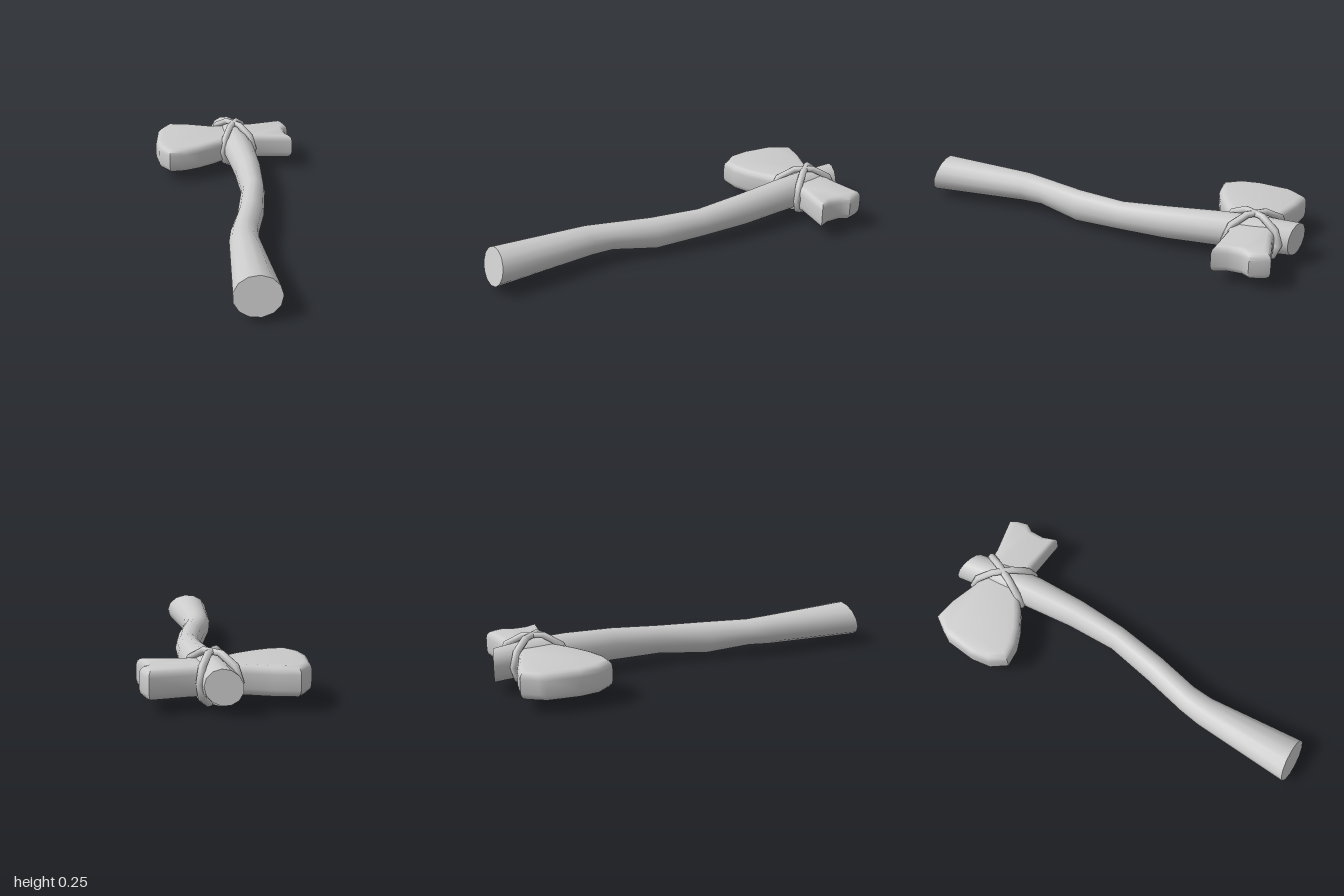
import * as THREE from 'three';
import { toCreasedNormals } from 'three/addons/utils/BufferGeometryUtils.js';

const material = new THREE.MeshStandardMaterial({ color: 0xcccccc });

function addPart(group, name, geometry) {
  const mesh = new THREE.Mesh(geometry, material);
  mesh.name = name;
  group.add(mesh);
  return mesh;
}

// Lofts elliptical sections along -z; slantX / slantY tilt a section's plane.
function loftHandle(sections, sides) {
  const positions = [];
  const index = [];
  for (const [z, x0, x1, y0, y1, slantX = 0, slantY = 0] of sections) {
    const rx = (x1 - x0) / 2;
    const ry = (y1 - y0) / 2;
    for (let i = 0; i < sides; i++) {
      const a = (i / sides) * Math.PI * 2;
      const dx = rx * Math.cos(a);
      const dy = ry * Math.sin(a);
      positions.push((x0 + x1) / 2 + dx, (y0 + y1) / 2 + dy, z + slantX * dx + slantY * dy);
    }
  }
  for (let s = 0; s < sections.length - 1; s++) {
    for (let i = 0; i < sides; i++) {
      const a = s * sides + i;
      const b = s * sides + ((i + 1) % sides);
      index.push(a, a + sides, b, b, a + sides, b + sides);
    }
  }
  // End caps
  const last = (sections.length - 1) * sides;
  for (let i = 1; i < sides - 1; i++) {
    index.push(0, i, i + 1, last, last + i + 1, last + i);
  }
  const geometry = new THREE.BufferGeometry();
  geometry.setAttribute('position', new THREE.Float32BufferAttribute(positions, 3));
  geometry.setIndex(index);
  return toCreasedNormals(geometry, 0.8);
}

export function createModel() {
  const axe = new THREE.Group();
  axe.name = 'stoneAxe';

  // Bent wooden handle: z, x range, y range, slants
  addPart(axe, 'handle', loftHandle([
    [0.975, -0.145, 0.08, 0.03, 0.21, 0, -0.28],
    [0.48, -0.105, 0.045, 0.045, 0.195],
    [0.37, -0.085, 0.055, 0.05, 0.187],
    [0.15, -0.025, 0.11, 0.02, 0.185],
    [-0.1, 0.025, 0.15, 0.04, 0.187],
    [-0.35, 0.02, 0.165, 0.042, 0.207],
    [-0.6, -0.005, 0.162, 0.05, 0.22],
    [-0.78, -0.02, 0.145, 0.045, 0.222],
    [-0.975, -0.045, 0.12, 0.045, 0.207, 0.3],
  ], 13));

  // Stone head: flat outline (x, z) with rounded rims
  const outline = [
    [-0.3, -0.95], [-0.19, -0.93], [-0.05, -0.88], [0.17, -0.89], [0.35, -0.925],
    [0.37, -0.89], [0.385, -0.83], [0.36, -0.79], [0.36, -0.72], [0.385, -0.65],
    [0.18, -0.67], [0, -0.64], [-0.06, -0.595], [-0.15, -0.545], [-0.23, -0.515],
    [-0.32, -0.51], [-0.375, -0.59], [-0.388, -0.69], [-0.37, -0.845], [-0.35, -0.88],
  ];
  const bevel = 0.035;
  const bottom = 0.06;
  const top = 0.197;
  const head = new THREE.ExtrudeGeometry(
    new THREE.Shape(outline.map(([x, z]) => new THREE.Vector2(x, -z))),
    {
      depth: top - bottom - 2 * bevel,
      bevelThickness: bevel,
      bevelSize: 0.03,
      bevelOffset: -0.03,
      bevelSegments: 3,
    },
  );
  head.rotateX(-Math.PI / 2).translate(0, bottom + bevel, 0);
  addPart(axe, 'stoneHead', toCreasedNormals(head, 0.8));

  // Two crossed rope loops lashing head to handle
  for (const [name, z, angle] of [['ropeLoopA', -0.778, -0.877], ['ropeLoopB', -0.767, 1.1]]) {
    const loop = new THREE.TorusGeometry(0.14, 0.019, 8, 10);
    loop.scale(1.13, 0.84, 1).rotateY(angle).translate(0.06, 0.128, z);
    addPart(axe, name, loop);
  }

  return axe;
}
